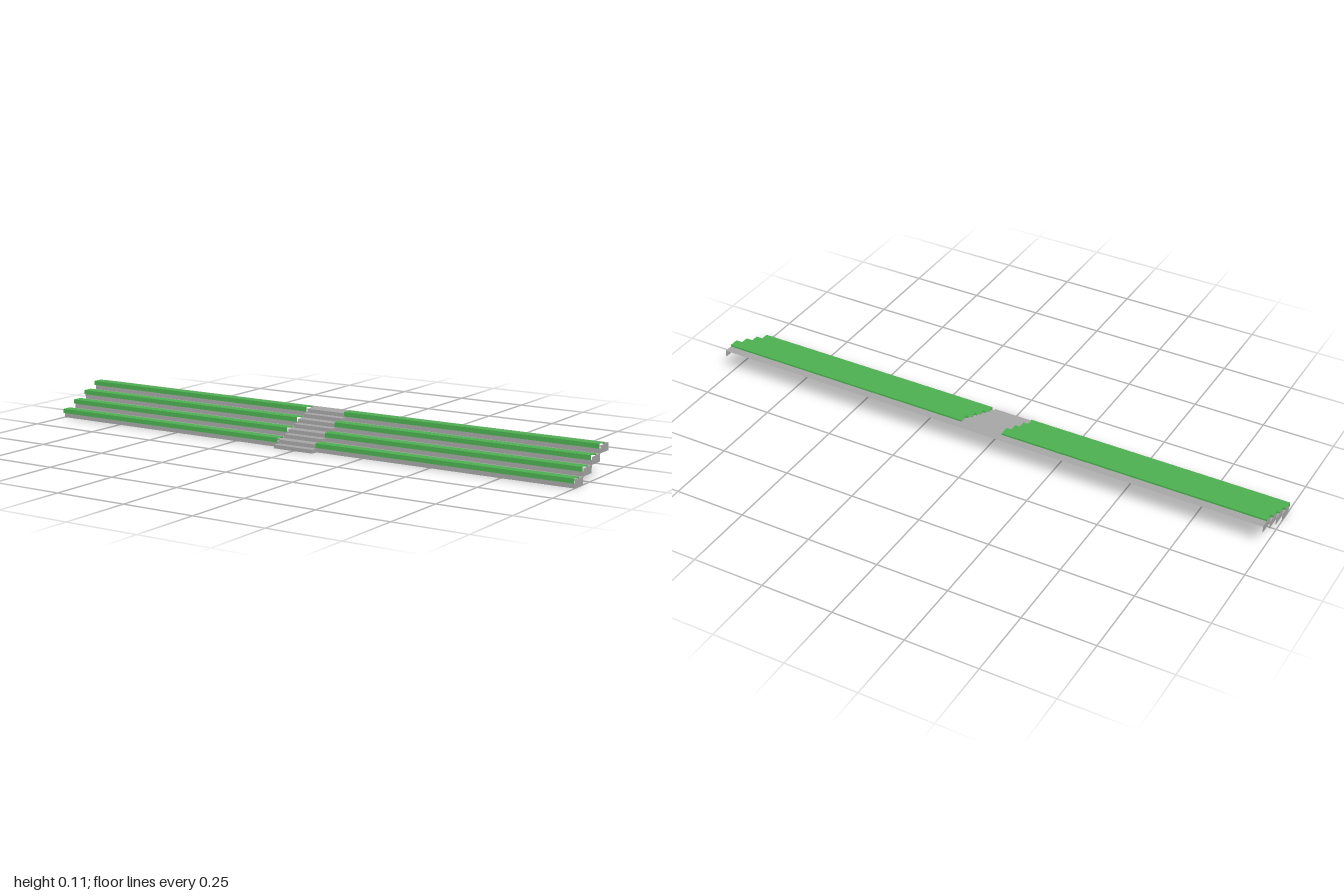
import * as THREE from 'three';

const TIERS = 4, RISE = 0.0252, DEPTH = 0.0578;   // one terrace
const STEP = 0.025;                               // depth of an aisle half step
const AISLE = 0.075;                              // half width of the aisle
const FRONT = (TIERS * DEPTH + STEP) / 2 - STEP;  // front face of the lowest terrace
const LIP = RISE - 0.009, SEAT = RISE + 0.006;    // bottom and top of the bench
const SEAT_FRONT = 0.007, SEAT_BACK = -0.0275;

// Folded sheet: a [z, y] polyline, front to back, swept from x0 to x1
function sheet(profile, x0, x1) {
  const p = [];
  for (let i = 0; i + 1 < profile.length; i++) {
    const [[za, ya], [zb, yb]] = [profile[i], profile[i + 1]];
    p.push(x0, ya, za, x1, ya, za, x1, yb, zb, x0, ya, za, x1, yb, zb, x0, yb, zb);
  }
  const geometry = new THREE.BufferGeometry();
  geometry.setAttribute('position', new THREE.Float32BufferAttribute(p, 3));
  geometry.computeVertexNormals();
  return geometry;
}

// Upright side panel at x, facing away from the centre
function panel(x, z0, z1, height) {
  return new THREE.PlaneGeometry(z1 - z0, height)
    .rotateY(Math.sign(x) * Math.PI / 2)
    .translate(x, height / 2, (z0 + z1) / 2);
}

export function createModel() {
  const model = new THREE.Group();
  model.name = 'grandstand';
  const grey = new THREE.MeshStandardMaterial({ color: 0xa5a5a5, side: THREE.DoubleSide });
  const green = new THREE.MeshStandardMaterial({ color: 0x4caf50, side: THREE.DoubleSide });

  // Sections of one row: riser, hollow bench, tread, and the stepped aisle
  const riser = [[0, 0], [0, LIP]];
  const bench = [[0, LIP], [SEAT_FRONT, LIP], [SEAT_FRONT, SEAT], [SEAT_BACK, SEAT], [SEAT_BACK, RISE]];
  const tread = [[SEAT_BACK, RISE], [-DEPTH, RISE]];
  const aisle = [[STEP, 0], [STEP, RISE / 2], [0, RISE / 2], [0, RISE], [STEP - DEPTH, RISE]];
  const topLanding = [[STEP - DEPTH, RISE], [-DEPTH, RISE]];

  for (let i = 0; i < TIERS; i++) {
    const row = new THREE.Group();
    row.name = 'row' + (i + 1);
    row.position.set(0, i * RISE, FRONT - i * DEPTH);
    model.add(row);

    const add = (name, geometry, material) => {
      const mesh = new THREE.Mesh(geometry, material);
      mesh.name = name;
      row.add(mesh);
    };

    add('aisleSteps', sheet(aisle, -AISLE, AISLE), grey);
    if (i === TIERS - 1) add('topLanding', sheet(topLanding, -AISLE, AISLE), grey);

    for (const [side, x0, x1] of [['left', AISLE, 1], ['right', -1, -AISLE]]) {
      const s = Math.sign(x0);
      add(side + 'Riser', sheet(riser, x0, x1), grey);
      add(side + 'Bench', sheet(bench, x0, x1), green);
      add(side + 'Tread', sheet(tread, x0, x1), grey);
      add(side + 'EndPanel', panel(s, -DEPTH, 0, RISE), grey);
      add(side + 'StepSide', panel(s * AISLE, 0, STEP, RISE / 2), grey);
    }
  }
  return model;
}
